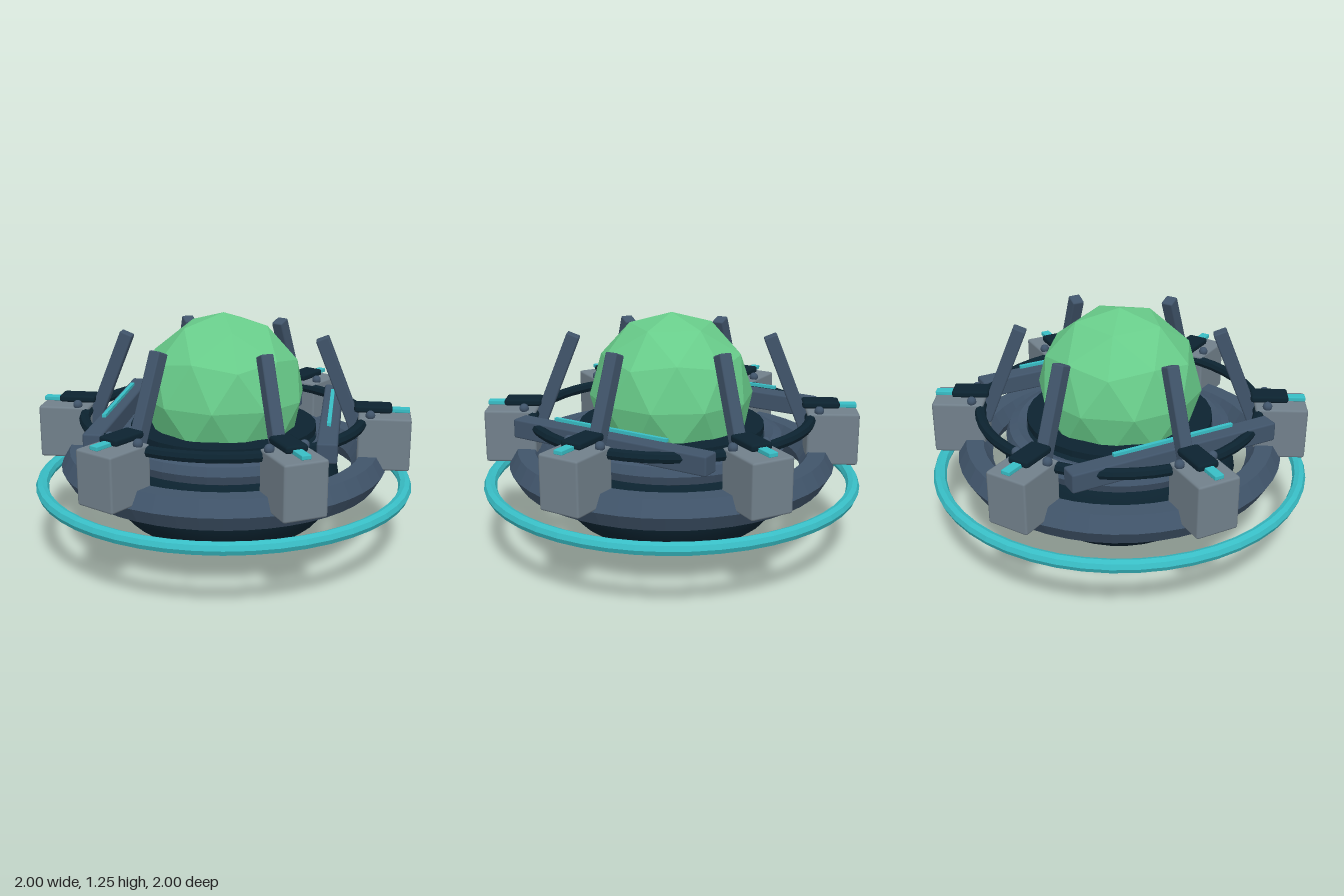
import * as THREE from 'three';
import { RoundedBoxGeometry } from 'three/addons/geometries/RoundedBoxGeometry.js';

const paint = (name, color) => {
  const m = new THREE.MeshStandardMaterial({ color });
  m.name = name;
  return m;
};

// Faceted normals for the low-poly parts
function faceted(geometry) {
  const g = geometry.index ? geometry.toNonIndexed() : geometry;
  g.computeVertexNormals();
  return g;
}

export function createModel() {
  const model = new THREE.Group();
  model.name = 'saucer';

  const green = paint('domeGreen', 0x68cc8a);
  const slate = paint('slateBlue', 0x40546a);
  const dark = paint('darkNavy', 0x0c2330);
  const grey = paint('podGrey', 0x71808b);
  const teal = paint('trimTeal', 0x38bdc5);

  function add(parent, name, geometry, material, x = 0, y = 0, z = 0) {
    const mesh = new THREE.Mesh(geometry, material);
    mesh.name = name;
    mesh.position.set(x, y, z);
    parent.add(mesh);
    return mesh;
  }

  function ring(name, radius, tube, sides, y, material) {
    const g = new THREE.TorusGeometry(radius, tube, sides, 48).rotateX(Math.PI / 2);
    return add(model, name, faceted(g), material, 0, y, 0);
  }

  const block = (w, h, d, r = 0.01) => new RoundedBoxGeometry(w, h, d, 1, r);

  // Flattened round hull
  const hullShape = new THREE.SphereGeometry(0.62, 32, 16).scale(1, 0.375 / 0.62, 1);
  add(model, 'hull', hullShape, dark, 0, 0.38, 0);

  // Faceted dome with one corner pointing straight up
  const domeShape = new THREE.IcosahedronGeometry(0.43, 1)
    .rotateX(-Math.atan2(1 + Math.sqrt(5), 2))
    .rotateY(Math.PI / 2);
  add(model, 'dome', faceted(domeShape), green, 0, 0.83, 0);
  add(model, 'domeSeat', faceted(new THREE.CylinderGeometry(0.49, 0.49, 0.035, 32)), dark, 0, 0.657, 0);

  // Rings around the hull
  ring('collarRing', 0.54, 0.063, 8, 0.573, slate);
  ring('bodyRing', 0.77, 0.09, 6, 0.467, slate);
  ring('pipeRing', 0.73, 0.029, 8, 0.717, dark);
  ring('outerRing', 0.965, 0.034, 8, 0.367, teal);

  // Side rails with light strips
  for (const side of [-1, 1]) {
    add(model, 'sideRail', block(0.1, 0.1, 1.13), slate, side * 0.565, 0.702, 0);
    add(model, 'railLight', new THREE.BoxGeometry(0.02, 0.016, 0.66), teal, side * 0.565, 0.777, 0);
  }

  // Six pods, each with a clamp, a light, two bolts and a leaning strut
  for (let i = 0; i < 6; i++) {
    const unit = new THREE.Group();
    unit.name = 'podUnit';
    unit.rotation.y = (i * Math.PI) / 3;
    model.add(unit);

    add(unit, 'pod', block(0.27, 0.278, 0.225, 0.012), grey, 0.842, 0.613, 0);
    add(unit, 'podLight', block(0.2, 0.022, 0.048, 0.004), teal, 0.87, 0.773, 0);
    add(unit, 'clamp', block(0.195, 0.038, 0.115, 0.014), dark, 0.782, 0.782, 0);
    for (const s of [-1, 1]) {
      add(unit, 'bolt', new THREE.SphereGeometry(0.025, 10, 8), slate, 0.768, 0.763, s * 0.09);
    }
    const strut = add(unit, 'strut', block(0.07, 0.56, 0.066, 0.008), slate, 0.613, 0.88, 0);
    strut.rotation.z = Math.atan2(0.2, 0.5);
  }

  return model;
}
